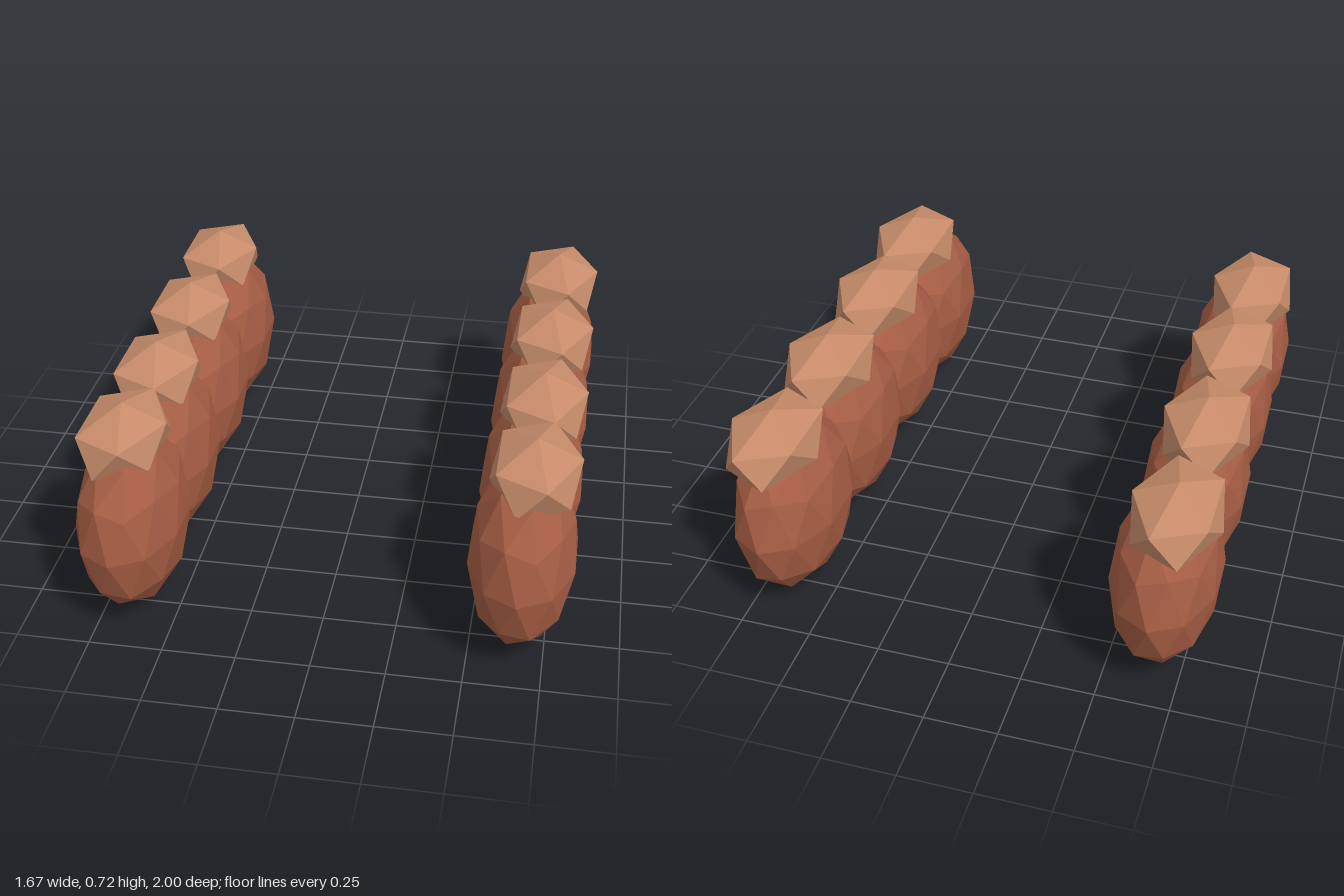
import * as THREE from 'three';

// Faceted ellipsoid: an icosahedron standing on a vertex, split and stretched
function facetedBall(rx, ry, rz, detail) {
  const h = 1 / Math.sqrt(5), r = 2 * h;
  const points = [0, 1, 0];
  for (const [y, shift] of [[h, 0], [-h, 0.5]]) {
    for (let k = 0; k < 5; k++) {
      const a = (k + shift) * Math.PI * 0.4;
      points.push(r * Math.cos(a), y, r * Math.sin(a));
    }
  }
  points.push(0, -1, 0);
  const faces = [];
  for (let k = 0; k < 5; k++) {
    const u = 1 + k, u2 = 1 + (k + 1) % 5, l = u + 5, l2 = u2 + 5;
    faces.push(0, u2, u, u, u2, l, l, u2, l2, 11, l, l2);
  }
  const geo = new THREE.PolyhedronGeometry(points, faces, 1, detail);
  geo.scale(rx, ry, rz);
  geo.computeVertexNormals(); // unshared corners give flat facets
  return geo;
}

export function createModel() {
  const group = new THREE.Group();
  group.name = 'toeRows';

  const skin = new THREE.MeshStandardMaterial({ color: 0xa65d44 });
  skin.name = 'reddish brown';
  const nail = new THREE.MeshStandardMaterial({ color: 0xc68b69 });
  nail.name = 'light tan';

  const bodyGeo = facetedBall(0.184, 0.318, 0.313, 1);
  const capGeo = facetedBall(0.167, 0.118, 0.258, 0);

  // Body and cap positions along each row, front to back
  const row = [[0.687, 0.635], [0.264, 0.21], [-0.207, -0.262], [-0.687, -0.737]];

  for (const [side, bodyX, capX] of [['left', 0.658, 0.681], ['right', -0.66, -0.689]]) {
    row.forEach(([bodyZ, capZ], i) => {
      const body = new THREE.Mesh(bodyGeo, skin);
      body.name = `${side}Body${i + 1}`;
      body.position.set(bodyX, 0.318, bodyZ);
      const cap = new THREE.Mesh(capGeo, nail);
      cap.name = `${side}Cap${i + 1}`;
      cap.position.set(capX, 0.605, capZ);
      group.add(body, cap);
    });
  }
  return group;
}
